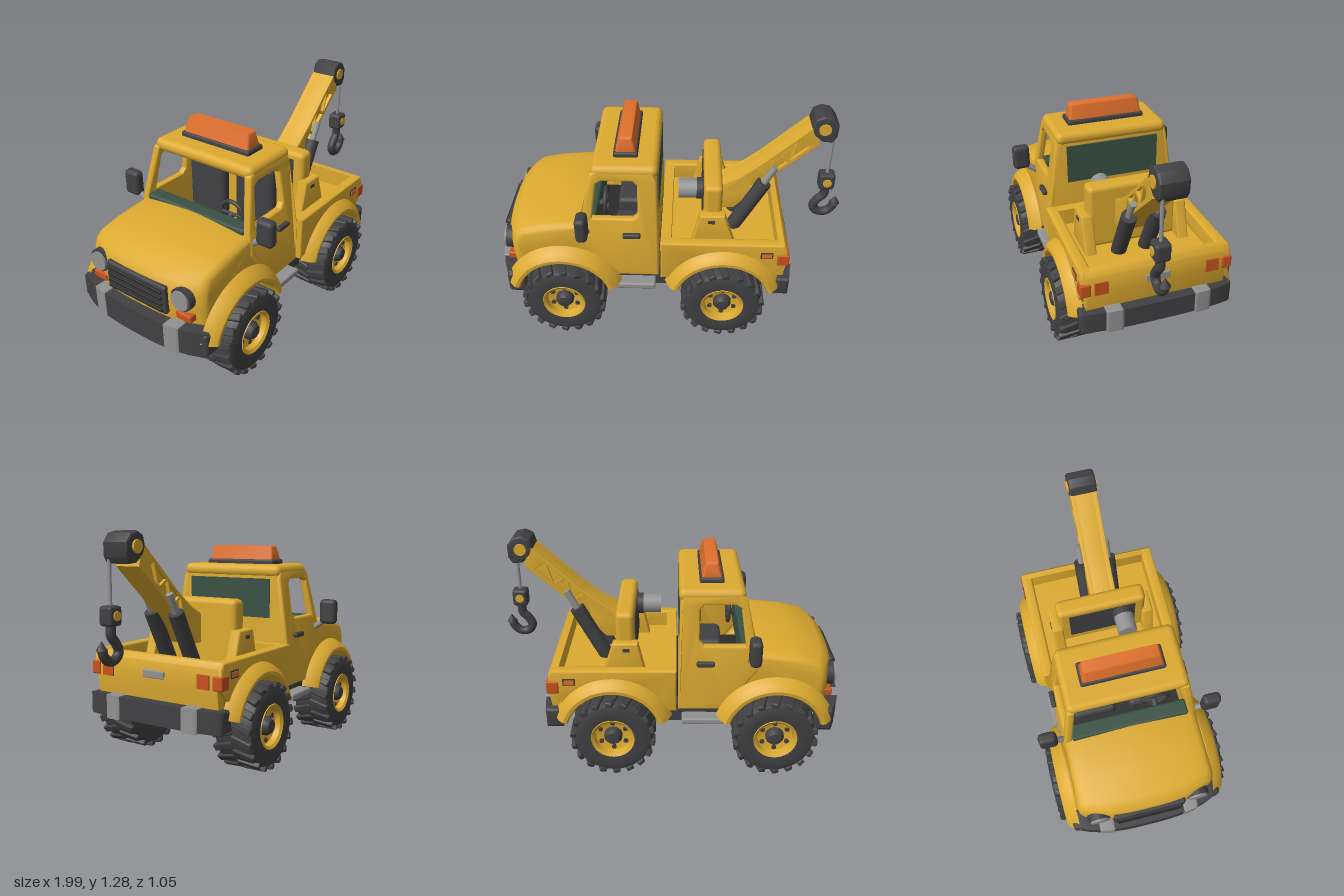
import * as THREE from 'three';
import { toCreasedNormals } from 'three/addons/utils/BufferGeometryUtils.js';
import { RoundedBoxGeometry } from 'three/addons/geometries/RoundedBoxGeometry.js';

const mat = (name, color, side = THREE.FrontSide) => {
  const m = new THREE.MeshStandardMaterial({ color, side });
  m.name = name;
  return m;
};

export function createModel() {
  const root = new THREE.Group();
  root.name = 'towTruck';
  const yellow = mat('yellow paint', 0xdcaa30, THREE.DoubleSide);
  const dark = mat('dark rubber', 0x414143);
  const black = mat('black underside', 0x2b2b2c);
  const grey = mat('grey metal', 0x929292);
  const green = mat('green glass', 0x3a5145);
  const orange = mat('orange lamp', 0xe0702c);
  const red = mat('red lamp', 0xc9521f);

  const add = (name, geo, material, x = 0, y = 0, z = 0, parent = root) => {
    const m = new THREE.Mesh(geo, material);
    m.name = name;
    m.position.set(x, y, z);
    parent.add(m);
    return m;
  };
  const rbox = (name, m, x0, x1, y0, y1, z0, z1, r = 0.015, parent = root) =>
    add(name, new RoundedBoxGeometry(x1 - x0, y1 - y0, z1 - z0, 2, r), m,
      (x0 + x1) / 2, (y0 + y1) / 2, (z0 + z1) / 2, parent);
  const box = (name, m, x0, x1, y0, y1, z0, z1, parent = root) =>
    add(name, new THREE.BoxGeometry(x1 - x0, y1 - y0, z1 - z0), m,
      (x0 + x1) / 2, (y0 + y1) / 2, (z0 + z1) / 2, parent);
  const poly = (pts, Type = THREE.Shape) => new Type(pts.map(p => new THREE.Vector2(...p)));
  // Side-profile extrusion between z0 and z1, optionally reshaped by a rule
  const ext = (shape, z0, z1, bevel = 0.01, steps = 1, rule) => {
    const g = new THREE.ExtrudeGeometry(shape, {
      depth: z1 - z0 - 2 * bevel, steps, curveSegments: 20, bevelEnabled: bevel > 0,
      bevelThickness: bevel, bevelSize: bevel, bevelOffset: -bevel, bevelSegments: 3 });
    g.translate(0, 0, z0 + bevel);
    if (rule) {
      const p = g.attributes.position, v = new THREE.Vector3();
      for (let i = 0; i < p.count; i++) {
        rule(v.fromBufferAttribute(p, i));
        p.setXYZ(i, v.x, v.y, v.z);
      }
    }
    return toCreasedNormals(g, 0.6);
  };
  // Rod between two points
  const rod = (name, m, a, b, r, parent = root) => {
    const A = new THREE.Vector3(...a), B = new THREE.Vector3(...b);
    const c = add(name, new THREE.CylinderGeometry(r, r, A.distanceTo(B), 18), m, 0, 0, 0, parent);
    c.position.copy(A).lerp(B, 0.5);
    c.quaternion.setFromUnitVectors(new THREE.Vector3(0, 1, 0), B.sub(A).normalize());
    return c;
  };
  const disc = (name, m, x, y, z, r, d, parent = root, seg = 24) => {
    const c = add(name, new THREE.CylinderGeometry(r, r, d, seg), m, x, y, z, parent);
    c.rotation.x = Math.PI / 2;
    return c;
  };

  // One group per side; the right one is mirrored
  const sides = [1, -1].map(s => {
    const g = new THREE.Group();
    g.name = s > 0 ? 'leftSide' : 'rightSide';
    g.scale.z = s;
    root.add(g);
    return g;
  });
  const AXLES = [-0.6, 0.32], AY = 0.24, AR = 0.275;
  const arcA = Math.asin(0.13 / AR);
  const lean = v => { v.z -= Math.sign(v.z) * Math.max(0, v.y - 0.6) * 0.15; };

  // Hood, nose and cab floor
  const body = new THREE.Shape();
  body.moveTo(-0.05, 0.37);
  body.absarc(AXLES[0], AY, AR, arcA, Math.PI - arcA, false);
  [[-0.93, 0.37], [-0.945, 0.5], [-0.945, 0.58], [-0.925, 0.645], [-0.87, 0.69], [-0.7, 0.725],
    [-0.48, 0.752], [-0.45, 0.745], [-0.45, 0.45], [-0.05, 0.45]].forEach(p => body.lineTo(...p));
  add('hoodAndFloor', ext(body, -0.4, 0.4, 0.035, 12, v => {
    const k = Math.abs(v.z) / 0.4;
    v.x += 0.08 * k ** 3 * THREE.MathUtils.clamp((-0.7 - v.x) / 0.25, 0, 1);
    if (v.y > 0.6) v.y -= 0.03 * k * k * (v.y - 0.6) / 0.14;
    lean(v);
  }), yellow);

  // Cab shell
  const door = poly([[-0.05, 0.37], [-0.05, 0.62], [-0.06, 1.0], [-0.085, 1.06], [-0.38, 1.06], [-0.42, 1.03],
    [-0.485, 0.745], [-0.49, 0.62], [-0.34, 0.42], [-0.33, 0.37]]);
  door.holes.push(poly([[-0.42, 0.765], [-0.19, 0.765], [-0.165, 0.79], [-0.165, 0.97], [-0.19, 0.995],
    [-0.36, 0.995], [-0.39, 0.975]], THREE.Path));
  for (const g of sides) {
    add('cabSide', ext(door, 0.36, 0.404, 0.012, 1, lean), yellow, 0, 0, 0, g);
    rbox('doorHandle', dark, -0.25, -0.15, 0.65, 0.68, 0.385, 0.415, 0.01, g);
  }
  add('cabRearWall', ext(poly([[-0.1, 0.4], [-0.05, 0.4], [-0.05, 0.62], [-0.06, 1.05], [-0.1, 1.05]]),
    -0.385, 0.385, 0.008, 1, lean), yellow);
  rbox('roof', yellow, -0.415, -0.05, 1.005, 1.08, -0.338, 0.338, 0.036);
  box('rearWindow', green, -0.058, -0.05, 0.77, 1.0, -0.28, 0.28);
  rbox('dashboard', green, -0.49, -0.4, 0.6, 0.757, -0.34, 0.34);
  box('cabFloorMat', black, -0.45, -0.1, 0.45, 0.458, -0.36, 0.36);
  for (const z of [-0.17, 0.17]) {
    rbox('seatCushion', dark, -0.32, -0.11, 0.46, 0.58, z - 0.13, z + 0.13, 0.03);
    rbox('seatBack', dark, -0.17, -0.1, 0.55, 0.96, z - 0.13, z + 0.13, 0.03);
  }
  const steer = add('steeringWheel', new THREE.TorusGeometry(0.075, 0.012, 8, 24), dark, -0.36, 0.74, 0.17);
  steer.rotation.set(0, Math.PI / 2, 0);
  rod('steeringColumn', dark, [-0.42, 0.7, 0.17], [-0.355, 0.74, 0.17], 0.018);
  rod('steeringSpoke', dark, [-0.36, 0.74, 0.1], [-0.36, 0.74, 0.24], 0.009);

  // Roof light bar
  rbox('lightBarBase', dark, -0.3, -0.165, 1.07, 1.107, -0.235, 0.235, 0.012);
  add('lightBar', ext(poly([[-0.29, 1.1], [-0.175, 1.1], [-0.195, 1.19], [-0.265, 1.19]]), -0.225, 0.225, 0.015, 1,
    v => { v.z *= 1 - Math.max(0, v.y - 1.1) * 0.8; }), orange);

  // Nose details
  rbox('grilleSurround', dark, -0.956, -0.92, 0.435, 0.605, -0.21, 0.21);
  for (let i = 0; i < 4; i++)
    rbox('grilleBar', black, -0.968, -0.94, 0.452 + i * 0.037, 0.472 + i * 0.037, -0.19, 0.19, 0.006);
  for (const g of sides) {
    rod('headlightRim', dark, [-0.88, 0.555, 0.29], [-0.93, 0.555, 0.29], 0.066, g);
    rod('headlight', grey, [-0.88, 0.555, 0.29], [-0.942, 0.555, 0.29], 0.055, g);
    rbox('turnSignal', red, -0.93, -0.87, 0.43, 0.475, 0.25, 0.35, 0.01, g);
  }

  // Bumpers, bent backwards at their ends
  const bumper = (name, m, x0, x1, y0, y1, z0, z1, bend) =>
    add(name, ext(poly([[x0, y0], [x1, y0], [x1, y1], [x0, y1]]), z0, z1, 0.018, 12,
      v => { v.x += bend * (Math.abs(v.z) / 0.45) ** 3; }), m);
  bumper('frontBumper', dark, -0.995, -0.9, 0.255, 0.405, -0.445, 0.445, 0.08);
  bumper('rearBumper', dark, 0.63, 0.728, 0.27, 0.39, -0.44, 0.44, -0.03);
  for (const s of [-1, 1]) {
    const z = s * 0.255;
    bumper('frontBumperPad', grey, -1.0, -0.93, 0.25, 0.41, z - 0.05, z + 0.05, 0.08);
    bumper('rearBumperPad', grey, 0.66, 0.735, 0.26, 0.395, z - 0.053, z + 0.053, -0.03);
    rbox('frontBumperEnd', dark, -0.93, -0.82, 0.26, 0.4, s > 0 ? 0.39 : -0.45, s > 0 ? 0.45 : -0.39, 0.02);
  }

  // Cargo bed
  const bed = new THREE.Shape();
  bed.moveTo(0.66, 0.37);
  bed.absarc(AXLES[1], AY, AR, arcA, Math.PI - arcA, false);
  [[-0.04, 0.37], [-0.04, 0.63], [0.655, 0.63], [0.675, 0.6], [0.68, 0.5]].forEach(p => bed.lineTo(...p));
  for (const g of sides) {
    add('bedSide', ext(bed, 0.36, 0.425, 0.012), yellow, 0, 0, 0, g);
    box('sideMarkerFrame', dark, 0.525, 0.595, 0.54, 0.582, 0.42, 0.43, g);
    box('sideMarker', orange, 0.532, 0.588, 0.547, 0.575, 0.425, 0.434, g);
    rbox('tailLightCorner', red, 0.62, 0.689, 0.49, 0.565, 0.375, 0.433, 0.008, g);
    box('tailLight', red, 0.68, 0.688, 0.49, 0.565, 0.28, 0.355, g);
  }
  box('bedFloor', yellow, -0.03, 0.66, 0.5, 0.53, -0.37, 0.37);
  box('bedFrontWall', yellow, -0.039, 0.02, 0.38, 0.629, -0.37, 0.37);
  add('tailgate', ext(poly([[0.62, 0.37], [0.665, 0.37], [0.682, 0.5], [0.677, 0.6], [0.655, 0.63], [0.62, 0.63]]),
    -0.4, 0.4, 0.002), yellow);
  rbox('licencePlate', grey, 0.67, 0.69, 0.51, 0.553, -0.07, 0.07, 0.006);

  // Chassis, steps and mirrors
  box('chassis', black, -0.9, 0.64, 0.27, 0.42, -0.27, 0.27);
  box('innerWells', black, -0.86, 0.6, 0.42, 0.498, -0.27, 0.27);
  box('sillFrame', dark, -0.34, 0.05, 0.265, 0.375, -0.36, 0.36);
  for (const x of AXLES) rod('axle', black, [x, AY, -0.4], [x, AY, 0.4], 0.045);
  for (const g of sides) {
    rbox('step', grey, -0.31, -0.07, 0.285, 0.325, 0.34, 0.435, 0.012, g);
    rod('mirrorStalk', grey, [-0.45, 0.67, 0.37], [-0.46, 0.73, 0.45], 0.018, g);
    rbox('mirror', dark, -0.495, -0.43, 0.705, 0.858, 0.42, 0.525, 0.025, g);
  }

  // Wheels and fender flares
  const V = (r, z) => new THREE.Vector2(r, z);
  const lathe = (pts, seg = 36, start = 0, len = Math.PI * 2) =>
    toCreasedNormals(new THREE.LatheGeometry(pts, seg, start, len).rotateX(Math.PI / 2), 0.7);
  const tire = lathe([V(0.11, -0.11), V(0.18, -0.12), V(0.215, -0.108), V(0.228, -0.08), V(0.23, 0),
    V(0.228, 0.08), V(0.215, 0.108), V(0.18, 0.12), V(0.125, 0.112), V(0.118, 0.05)]);
  const rim = lathe([V(0.02, 0.06), V(0.068, 0.065), V(0.1, 0.075), V(0.105, 0.105), V(0.122, 0.116), V(0.128, 0.1)]);
  const flare = lathe([V(0.268, 0.28), V(0.265, 0.465), V(0.275, 0.48), V(0.295, 0.482), V(0.325, 0.46), V(0.35, 0.41)],
    28, Math.PI - 1.28, 2.56);
  const lug = new RoundedBoxGeometry(0.042, 0.03, 0.125, 1, 0.008);
  for (const g of sides) for (const x of AXLES) {
    add('fenderFlare', flare, yellow, x, AY, 0, g);
    const w = new THREE.Group();
    w.name = 'wheel';
    w.position.set(x, AY, 0.4);
    g.add(w);
    add('tire', tire, dark, 0, 0, 0, w);
    for (let i = 0; i < 36; i++) {
      const a = i * Math.PI / 18, s = i % 2 ? 1 : -1;
      const l = add('treadLug', lug, dark, Math.cos(a) * 0.226, Math.sin(a) * 0.226, s * 0.056, w);
      l.rotation.set(0, s * 0.3, a - Math.PI / 2, 'ZYX');
    }
    add('rim', rim, yellow, 0, 0, 0, w);
    disc('innerHub', black, 0, 0, -0.06, 0.12, 0.08, w);
    for (let i = 0; i < 6; i++) {
      const a = i * Math.PI / 3 + 0.5;
      disc('rimSlot', dark, Math.cos(a) * 0.081, Math.sin(a) * 0.081, 0.07, 0.014, 0.012, w, 10);
    }
    add('hub', lathe([V(0.052, 0.05), V(0.052, 0.085), V(0.036, 0.11), V(0.001, 0.116)], 20), dark, 0, 0, 0, w);
  }

  // Crane frame and winch
  const CZ = 0.035;
  rbox('craneFrame', yellow, 0.2, 0.305, 0.52, 0.905, -0.265, 0.265, 0.03);
  box('craneFramePanel', dark, 0.195, 0.203, 0.6, 0.86, -0.2, 0.2);
  for (const g of sides) {
    add('craneBracket', ext(poly([[0.13, 0.52], [0.18, 0.74], [0.32, 0.74], [0.39, 0.52]]), 0.245, 0.31, 0.01),
      yellow, 0, 0, 0, g);
    box('bracketSlot', dark, 0.225, 0.265, 0.69, 0.71, 0.306, 0.314, g);
  }
  rod('winchMotor', grey, [0.055, 0.8, 0.12], [0.21, 0.8, 0.12], 0.058);
  rod('winchCollar', dark, [0.16, 0.8, 0.12], [0.21, 0.8, 0.12], 0.063);

  // Boom: solid core between two trussed side plates
  const outline = [[0.25, 0.72], [0.27, 0.8], [0.4, 0.87], [0.52, 0.965], [0.8, 1.225], [0.83, 1.1], [0.6, 0.895],
    [0.38, 0.655], [0.28, 0.655]];
  const plate = poly(outline);
  const T = t => [0.44 + 0.34 * t, 0.872 + 0.305 * t], B = t => [0.46 + 0.33 * t, 0.79 + 0.31 * t];
  for (let i = 0; i < 5; i++) {
    const [P, Q] = i % 2 ? [T, B] : [B, T], t = i * 0.165;
    plate.holes.push(poly([P(t + 0.015), P(t + 0.285), Q(t + 0.15)], THREE.Path));
  }
  add('boomCore', ext(poly(outline), CZ - 0.055, CZ + 0.055, 0.004), yellow);
  for (const s of [-1, 1]) {
    const z = CZ + s * 0.062;
    add('boomSidePlate', ext(plate, z - 0.014, z + 0.014, 0.003), yellow);
    rod('liftCylinder', dark, [0.38, 0.53, CZ + s * 0.082], [0.545, 0.845, CZ + s * 0.082], 0.044);
    rod('liftPiston', grey, [0.54, 0.835, CZ + s * 0.082], [0.6, 0.95, CZ + s * 0.082], 0.02);
  }

  // Boom head, cable and hook
  add('boomHead', ext(poly([[0.775, 1.2], [0.79, 1.255], [0.835, 1.277], [0.885, 1.265], [0.92, 1.22], [0.918, 1.15],
    [0.895, 1.115], [0.84, 1.12], [0.79, 1.16]]), CZ - 0.077, CZ + 0.08, 0.012), dark);
  disc('headPin', yellow, 0.845, 1.2, CZ, 0.034, 0.175);
  rod('cable', grey, [0.9, 0.89, 0.09], [0.9, 1.14, 0.09], 0.01);
  rbox('hookBlock', dark, 0.856, 0.945, 0.805, 0.908, 0.048, 0.132, 0.018);
  disc('hookBlockPin', yellow, 0.9, 0.858, 0.09, 0.025, 0.096);
  const hook = [[0.9, 0.81], [0.9, 0.755], [0.868, 0.715], [0.847, 0.67], [0.872, 0.632], [0.92, 0.628],
    [0.957, 0.66], [0.968, 0.7]];
  add('hook', new THREE.TubeGeometry(new THREE.CatmullRomCurve3(hook.map(p => new THREE.Vector3(...p, 0.09))),
    32, 0.026, 10), dark);
  add('hookTip', new THREE.ConeGeometry(0.03, 0.05, 10), dark, 0.97, 0.715, 0.09);
  return root;
}
